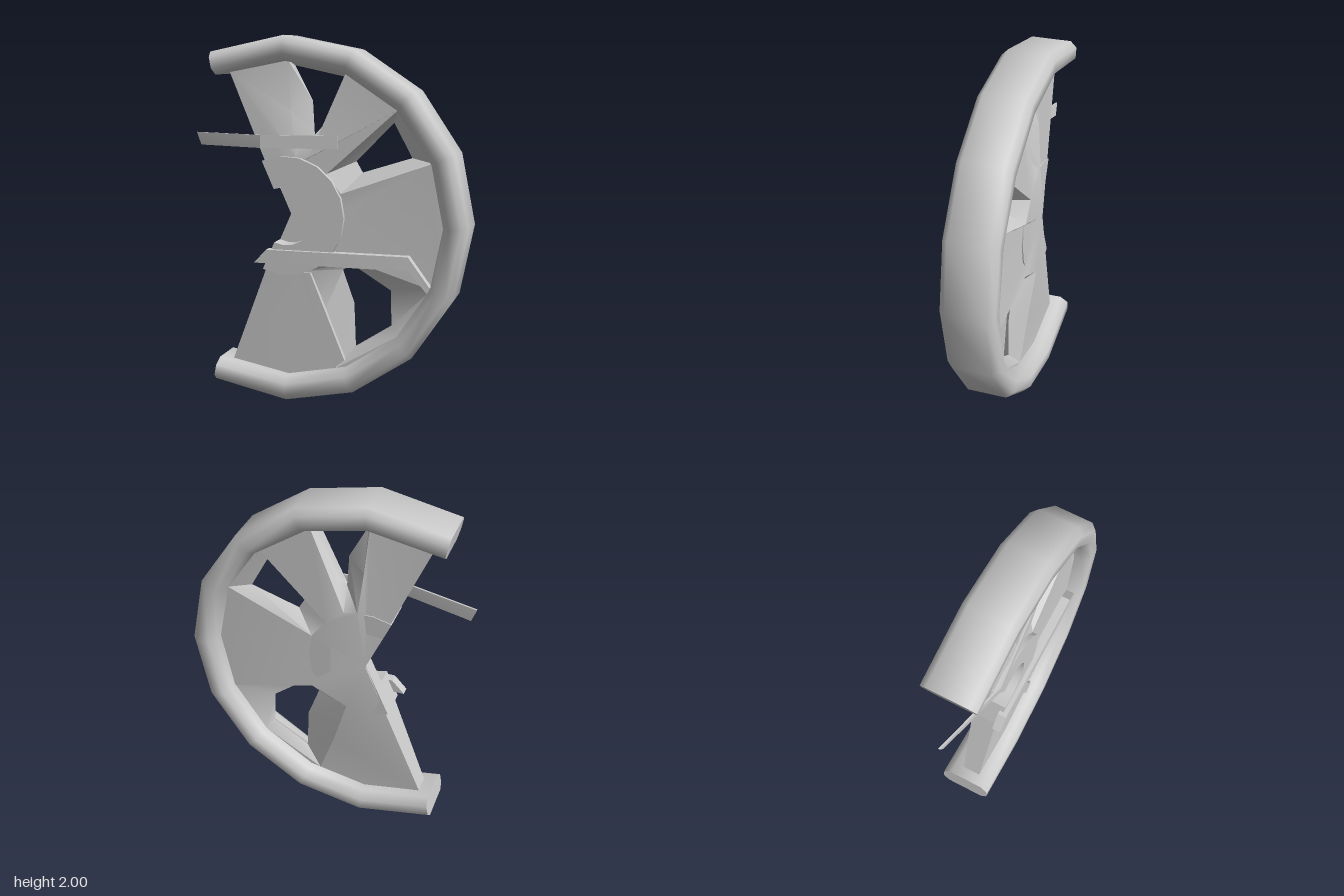
import * as THREE from 'three';
import { toCreasedNormals, mergeGeometries } from 'three/addons/utils/BufferGeometryUtils.js';

const CX = -0.225, RIM_Y = 1.0, HUB_Y = 1.03;
const material = new THREE.MeshStandardMaterial({ color: 0xcccccc, side: THREE.DoubleSide });

const polar = (cy, r, deg) => {
  const a = THREE.MathUtils.degToRad(deg);
  return [CX + r * Math.cos(a), cy + r * Math.sin(a)];
};

// Skin a list of equal-length closed sections; caps are fans from point 0.
function loft(rings, caps = true) {
  const pos = [], n = rings[0].length;
  const tri = (a, b, c) => pos.push(...a, ...b, ...c);
  for (let i = 0; i < rings.length - 1; i++) {
    for (let j = 0; j < n; j++) {
      const k = (j + 1) % n, p = rings[i], q = rings[i + 1];
      tri(p[j], p[k], q[k]);
      tri(p[j], q[k], q[j]);
    }
  }
  if (caps) {
    const first = rings[0], last = rings[rings.length - 1];
    for (let j = 1; j < n - 1; j++) {
      tri(first[0], first[j + 1], first[j]);
      tri(last[0], last[j], last[j + 1]);
    }
  }
  const geo = new THREE.BufferGeometry();
  geo.setAttribute('position', new THREE.Float32BufferAttribute(pos, 3));
  return geo;
}

function addMesh(group, name, geo, crease = 0.7) {
  const mesh = new THREE.Mesh(toCreasedNormals(geo, crease), material);
  mesh.name = name;
  group.add(mesh);
}

// Broken rim: a bevelled section swept along half of a 16-sided ring
function rimGeometry() {
  const section = [[1, -0.11], [1, 0.11], [0.75, 0.145], [0.28, 0.145],
    [0, 0.1], [0, -0.1], [0.28, -0.145], [0.75, -0.145]];
  const ring = (inner, outer) => section.map(([t, z]) => [
    THREE.MathUtils.lerp(inner[0], outer[0], t),
    THREE.MathUtils.lerp(inner[1], outer[1], t), z]);
  const rings = [ring([-0.62, 0.21], [-0.643, 0.087])];
  for (let a = -90; a <= 90; a += 22.5) {
    rings.push(ring(polar(RIM_Y, 0.865, a), polar(RIM_Y, 1, a)));
  }
  rings.push(ring([-0.62, 1.79], [-0.643, 1.913]));
  return loft(rings);
}

// Hub: pie-shaped boss with a blind bore in its front
function hubGeometry() {
  const section = [[0.16, 0], [0.16, 0.1], [0.327, 0.1], [0.327, -0.08], [0, -0.08], [0, 0]];
  const rings = [];
  for (let i = 0; i <= 12; i++) {
    const a = -114 + 19 * i;
    rings.push(section.map(([r, z]) => [...polar(HUB_Y, r, a), z]));
  }
  return loft(rings);
}

// Windows: outline on both faces, and the narrower outline halfway through
const windows = [
  { face: [[-0.22, 1.87], [-0.2, 1.6], [-0.175, 1.36], [-0.1, 1.35], [0.1, 1.8]],
    mid: [[-0.2, 1.84], [-0.1, 1.65], [-0.09, 1.47], [-0.03, 1.53], [0.08, 1.78]] },
  { face: [[0.39, 1.615], [0.575, 1.335], [0.08, 1.16], [0, 1.265]],
    mid: [[0.35, 1.54], [0.45, 1.355], [0.18, 1.27], [0.145, 1.33]] },
  { face: [[0.575, 0.66], [0.39, 0.39], [0.05, 0.19], [-0.04, 0.45], [-0.12, 0.73], [0.08, 0.82]],
    mid: [[0.34, 0.63], [0.345, 0.435], [0.145, 0.305], [0.135, 0.55], [0.07, 0.73], [0.15, 0.78]] },
];

// Web between hub and rim: two dished faces, window walls and the broken edges
function webGeometry() {
  const height = (x, y, side) => {
    const t = THREE.MathUtils.smoothstep(Math.hypot(x - CX, y - HUB_Y), 0.3, 0.85);
    return side > 0 ? 0.075 - 0.02 * t : -0.09 + 0.04 * t;
  };
  const at = (p, side) => [p[0], p[1], height(p[0], p[1], side)];
  const ends = [[-0.56, 0.18], [-0.56, 1.82]], tip = [CX, HUB_Y];
  const parts = [];
  for (const side of [1, -1]) {
    const outline = [ends[0]];
    for (let a = -90; a <= 90; a += 22.5) outline.push(polar(RIM_Y, 0.9, a));
    outline.push(ends[1]);
    if (side > 0) for (let a = 112.5; a >= -112.5; a -= 22.5) outline.push(polar(HUB_Y, 0.25, a));
    else outline.push(tip);
    const shape = new THREE.Shape(outline.map(p => new THREE.Vector2(...p)));
    windows.forEach(w => shape.holes.push(new THREE.Path(w.face.map(p => new THREE.Vector2(...p)))));
    const face = new THREE.ShapeGeometry(shape).toNonIndexed();
    face.deleteAttribute('uv');
    face.deleteAttribute('normal');
    const v = face.attributes.position;
    for (let i = 0; i < v.count; i++) v.setZ(i, height(v.getX(i), v.getY(i), side));
    if (side < 0) {
      // turn the back face outward
      for (let i = 0; i < v.count; i += 3) {
        const b = [v.getX(i + 1), v.getY(i + 1), v.getZ(i + 1)];
        v.setXYZ(i + 1, v.getX(i + 2), v.getY(i + 2), v.getZ(i + 2));
        v.setXYZ(i + 2, ...b);
      }
    }
    parts.push(face);
  }
  for (const w of windows) {
    parts.push(loft([w.face.map(p => at(p, 1)), w.mid.map(p => [...p, -0.01]), w.face.map(p => at(p, -1))], false));
  }
  ends.forEach((end, i) => {
    const inner = polar(HUB_Y, 0.25, i ? 112.5 : -112.5);
    const quad = [at(inner, 1), at(end, 1), at(end, -1), at(tip, -1)];
    const [a, b, c, d] = i ? quad : quad.reverse();
    const geo = new THREE.BufferGeometry();
    geo.setAttribute('position', new THREE.Float32BufferAttribute([a, b, c, a, c, d].flat(), 3));
    parts.push(geo);
  });
  return mergeGeometries(parts);
}

// Bent plank from stations [topX, topY, bottomX, bottomY, z]
function plankGeometry(stations, thickness) {
  const h = thickness / 2;
  return loft(stations.map(([tx, ty, bx, by, z]) => [
    [tx, ty, z - h], [tx, ty, z + h], [bx, by, z + h], [bx, by, z - h]]));
}

export function createModel() {
  const group = new THREE.Group();
  group.name = 'brokenWheel';
  addMesh(group, 'rim', rimGeometry(), 1.0);
  addMesh(group, 'hub', hubGeometry());
  addMesh(group, 'web', webGeometry());

  // Loose splinters caught on the front of the wheel
  addMesh(group, 'upperPlank', plankGeometry([
    [-0.775, 1.47, -0.75, 1.4, 0], [-0.36, 1.47, -0.36, 1.4, 0.115], [0.06, 1.47, 0.06, 1.4, 0.075]], 0.01), 0.2);
  addMesh(group, 'lowerPlank', plankGeometry([
    [-0.33, 0.845, -0.4, 0.77, 0.1], [0.46, 0.845, 0.46, 0.77, 0.1], [0.575, 0.68, 0.56, 0.65, 0.08]], 0.05), 0.2);
  addMesh(group, 'spokeStrip', plankGeometry([
    [-0.09, 0.72, -0.15, 0.72, 0.07], [0.1, 0.24, 0.04, 0.19, 0.055]], 0.03), 0.2);
  return group;
}
